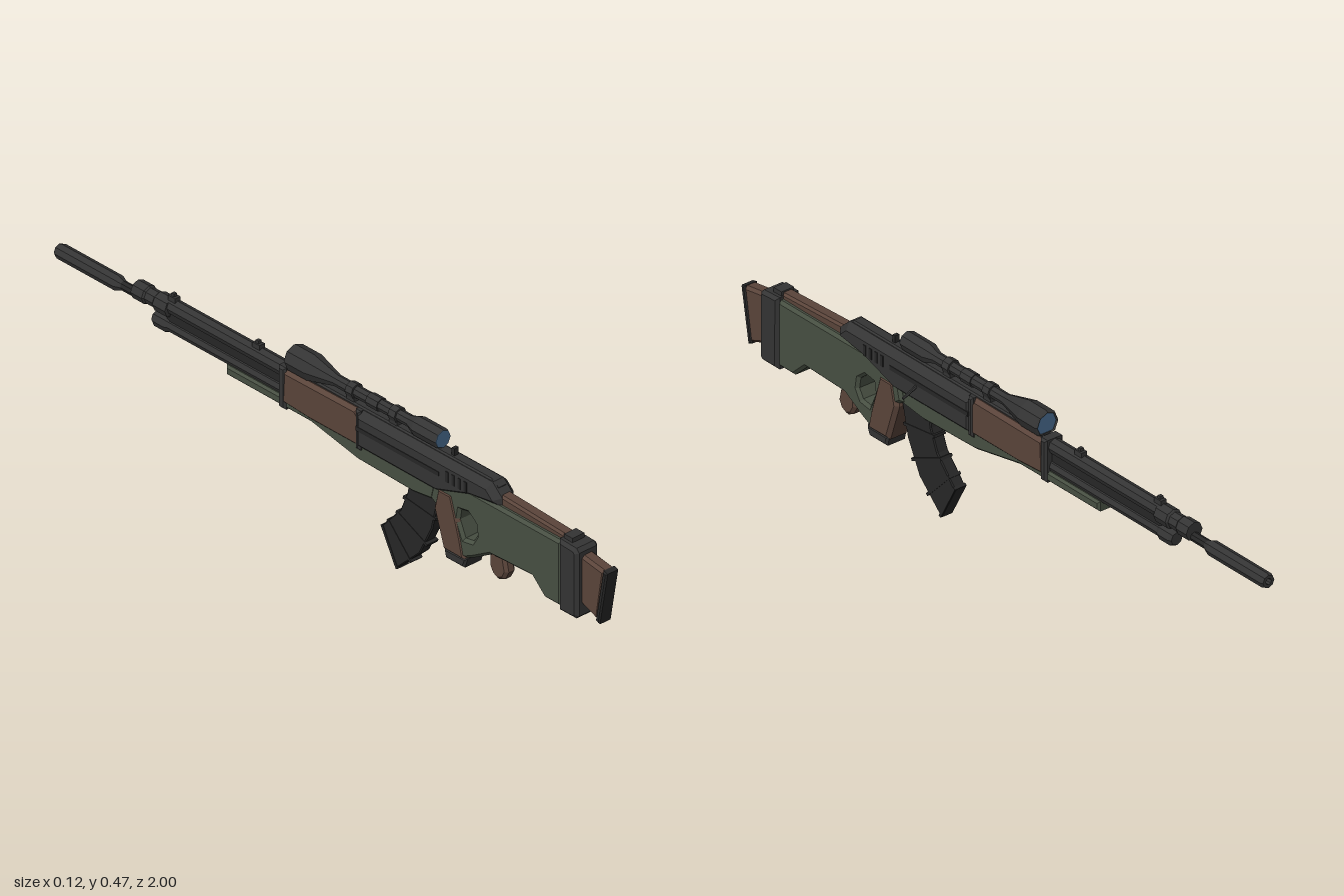
import * as THREE from 'three';

const mat = (color) => new THREE.MeshStandardMaterial({ color, flatShading: true });

export function createModel() {
  const model = new THREE.Group();
  model.name = 'rifle';
  const body = new THREE.Group();
  body.name = 'rifleBody';
  body.position.x = -0.022;
  model.add(body);

  const black = mat(0x343434), dark = mat(0x262626);
  const green = mat(0x474f42), brown = mat(0x5a443a), glass = mat(0x46688a);

  const add = (name, geo, material, x = 0, y = 0, z = 0) => {
    const mesh = new THREE.Mesh(geo, material);
    mesh.name = name;
    mesh.position.set(x, y, z);
    body.add(mesh);
    return mesh;
  };
  const box = (name, m, w, h, d, x, y, z) => add(name, new THREE.BoxGeometry(w, h, d), m, x, y, z);

  // Side profile of [z, y] points, extruded across the width with chamfered edges
  const slab = (name, m, pts, width, bevel = 0.006, hole = null) => {
    const shape = new THREE.Shape(pts.map(([z, y]) => new THREE.Vector2(z, y)));
    if (hole) shape.holes.push(new THREE.Path(hole.map(([z, y]) => new THREE.Vector2(z, y))));
    const geo = new THREE.ExtrudeGeometry(shape, {
      depth: width - 2 * bevel, bevelEnabled: bevel > 0, bevelSize: bevel,
      bevelOffset: -bevel, bevelThickness: bevel, bevelSegments: 1,
    });
    geo.translate(0, 0, -(width / 2 - bevel));
    geo.rotateY(-Math.PI / 2);
    return add(name, geo, m);
  };

  // Turned part along z from [radius, z] points, z ascending
  const turned = (name, m, y, pts, sides = 8) => {
    const geo = new THREE.LatheGeometry(pts.map(([r, z]) => new THREE.Vector2(r, z)), sides);
    geo.rotateX(Math.PI / 2);
    return add(name, geo, m, 0, y, 0);
  };
  const rod = (name, m, y, r, z0, z1, sides = 8) =>
    turned(name, m, y, [[0, z0], [r, z0], [r, z1], [0, z1]], sides);

  // Butt: sliding pad, end plate and collar
  slab('buttPad', brown, [[0.99, 0.322], [0.89, 0.337], [0.89, 0.2], [0.965, 0.172]], 0.04, 0.008);
  slab('buttPlate', dark, [[1, 0.32], [0.985, 0.324], [0.958, 0.172], [0.972, 0.165]], 0.043, 0.004);
  slab('stockCollar', black, [[0.91, 0.345], [0.9, 0.355], [0.84, 0.358], [0.84, 0.155], [0.9, 0.155], [0.91, 0.165]], 0.076, 0.009);

  // Stock with thumbhole
  slab('stock', green, [
    [0.845, 0.35], [0.39, 0.352], [0.37, 0.27], [0.4, 0.25], [0.43, 0.15], [0.5, 0.15], [0.53, 0.165],
    [0.59, 0.2], [0.74, 0.205], [0.785, 0.163], [0.845, 0.163],
  ], 0.064, 0.008, [
    [0.54, 0.235], [0.525, 0.21], [0.495, 0.205], [0.475, 0.25], [0.48, 0.28], [0.51, 0.285], [0.535, 0.265],
  ]);
  slab('cheekRest', brown, [[0.845, 0.345], [0.845, 0.365], [0.6, 0.376], [0.58, 0.345]], 0.036, 0.006);
  box('cheekRestStop', black, 0.04, 0.018, 0.03, 0, 0.36, 0.86);

  // Rounded support below the stock
  slab('stockSupport', brown, [
    [0.62, 0.22], [0.57, 0.22], [0.567, 0.16], [0.58, 0.137], [0.6, 0.127], [0.622, 0.137], [0.634, 0.16],
  ], 0.034, 0.008);

  // Pistol grip
  slab('grip', brown, [
    [0.455, 0.315], [0.4, 0.315], [0.385, 0.25], [0.42, 0.142], [0.502, 0.142], [0.49, 0.2],
  ], 0.07, 0.01);
  slab('gripCap', black, [[0.505, 0.15], [0.422, 0.15], [0.428, 0.121], [0.495, 0.121]], 0.066, 0.006);

  // Receiver with raised spine, vents and side rails
  slab('receiver', black, [
    [0.62, 0.37], [0.585, 0.402], [0.1, 0.402], [0.1, 0.292], [0.4, 0.29], [0.46, 0.31], [0.52, 0.33], [0.62, 0.345],
  ], 0.072, 0.018);
  slab('receiverSpine', black, [[0.6, 0.39], [0.575, 0.406], [-0.15, 0.406], [-0.15, 0.38], [0.6, 0.38]], 0.032, 0.004);
  for (const s of [-1, 1]) {
    box('sideRail', dark, 0.005, 0.012, 0.3, s * 0.035, 0.355, 0.26);
    for (let i = 0; i < 4; i++) box('vent', dark, 0.006, 0.03, 0.01, s * 0.035, 0.36, 0.44 + i * 0.022);
  }

  // Bolt handle on the left side
  const bolt = add('boltHandle', new THREE.CylinderGeometry(0.004, 0.004, 0.052, 6), black, 0.054, 0.336, 0.31);
  bolt.rotation.z = Math.PI / 2 - 0.42;
  bolt.rotation.z *= -1;
  bolt.rotation.z = -(Math.PI / 2 + 0.42);

  // Trigger and guard
  slab('trigger', dark, [[0.385, 0.29], [0.37, 0.29], [0.375, 0.245], [0.382, 0.24]], 0.012, 0);
  const release = add('magazineRelease', new THREE.TorusGeometry(0.018, 0.004, 4, 8), dark, 0, 0.255, 0.285);
  release.rotation.y = Math.PI / 2;

  // Curved magazine with ribs
  slab('magazine', dark, [
    [0.395, 0.3], [0.285, 0.3], [0.275, 0.235], [0.25, 0.175], [0.182, 0.1], [0.235, 0.0],
    [0.32, 0.08], [0.365, 0.17],
  ], 0.035, 0.003);
  for (const [z, y, a, len] of [[0.32, 0.21, 0.12, 0.118], [0.292, 0.14, 0.42, 0.122], [0.247, 0.085, 0.8, 0.122], [0.212, 0.053, 1.08, 0.117]]) {
    const rib = box('magazineRib', dark, 0.038, 0.008, len, 0, y, z);
    rib.rotation.x = a;
  }

  // Forend: green underside and brown handguard with bands
  slab('lowerForend', green, [
    [0.4, 0.3], [0.38, 0.26], [0.3, 0.25], [0.1, 0.255], [-0.07, 0.287], [-0.375, 0.288], [-0.375, 0.316], [0.1, 0.316],
  ], 0.046, 0.006);
  slab('handguard', brown, [[0.115, 0.38], [0.1, 0.4], [-0.165, 0.398], [-0.17, 0.3], [-0.07, 0.294], [0.115, 0.294]], 0.056, 0.01);
  slab('rearBand', black, [[0.118, 0.402], [0.1, 0.402], [0.1, 0.29], [0.118, 0.29]], 0.064, 0.006);
  slab('frontBand', black, [[-0.155, 0.404], [-0.18, 0.404], [-0.18, 0.285], [-0.155, 0.285]], 0.058, 0.006);

  // Barrel assembly
  rod('upperTube', black, 0.382, 0.021, -0.6, -0.16);
  rod('lowerTube', black, 0.326, 0.018, -0.645, -0.16);
  turned('lowerTubeCap', black, 0.326, [[0, -0.648], [0.018, -0.648], [0.023, -0.64], [0.023, -0.6], [0.018, -0.59]]);
  box('tubeWeb', dark, 0.018, 0.05, 0.44, 0, 0.35, -0.38);
  turned('muzzleCollar', black, 0.376, [
    [0, -0.715], [0.026, -0.715], [0.026, -0.675], [0.022, -0.67], [0.022, -0.64], [0.027, -0.635], [0.027, -0.59], [0, -0.585],
  ]);
  rod('barrel', dark, 0.362, 0.013, -0.8, -0.7);
  turned('muzzleDevice', black, 0.361, [
    [0, -0.96], [0.009, -0.96], [0.009, -1], [0.018, -1], [0.021, -0.992], [0.021, -0.785], [0.013, -0.765],
  ]);

  // Iron sights
  for (const z of [-0.28, -0.585]) {
    box('sightBase', black, 0.018, 0.016, 0.026, 0, 0.405, z);
    box('sightPost', black, 0.01, 0.02, 0.01, 0, 0.411, z);
  }
  box('rearSight', dark, 0.014, 0.03, 0.01, 0, 0.411, 0.43);

  // Scope
  turned('scope', black, 0.43, [
    [0.03, -0.147], [0.033, -0.153], [0.037, -0.147], [0.037, -0.08], [0.016, 0.005], [0.016, 0.27],
    [0.027, 0.3], [0.027, 0.382], [0.025, 0.386], [0.022, 0.38],
  ]);
  rod('frontLens', glass, 0.43, 0.032, -0.148, -0.142);
  rod('rearLens', glass, 0.43, 0.0245, 0.377, 0.387);
  for (const z of [0.065, 0.22]) {
    rod('scopeRing', black, 0.43, 0.021, z - 0.012, z + 0.012);
    box('scopeMount', black, 0.026, 0.03, 0.028, 0, 0.408, z);
  }
  rod('turretBand', black, 0.43, 0.019, 0.125, 0.165);

  return model;
}
